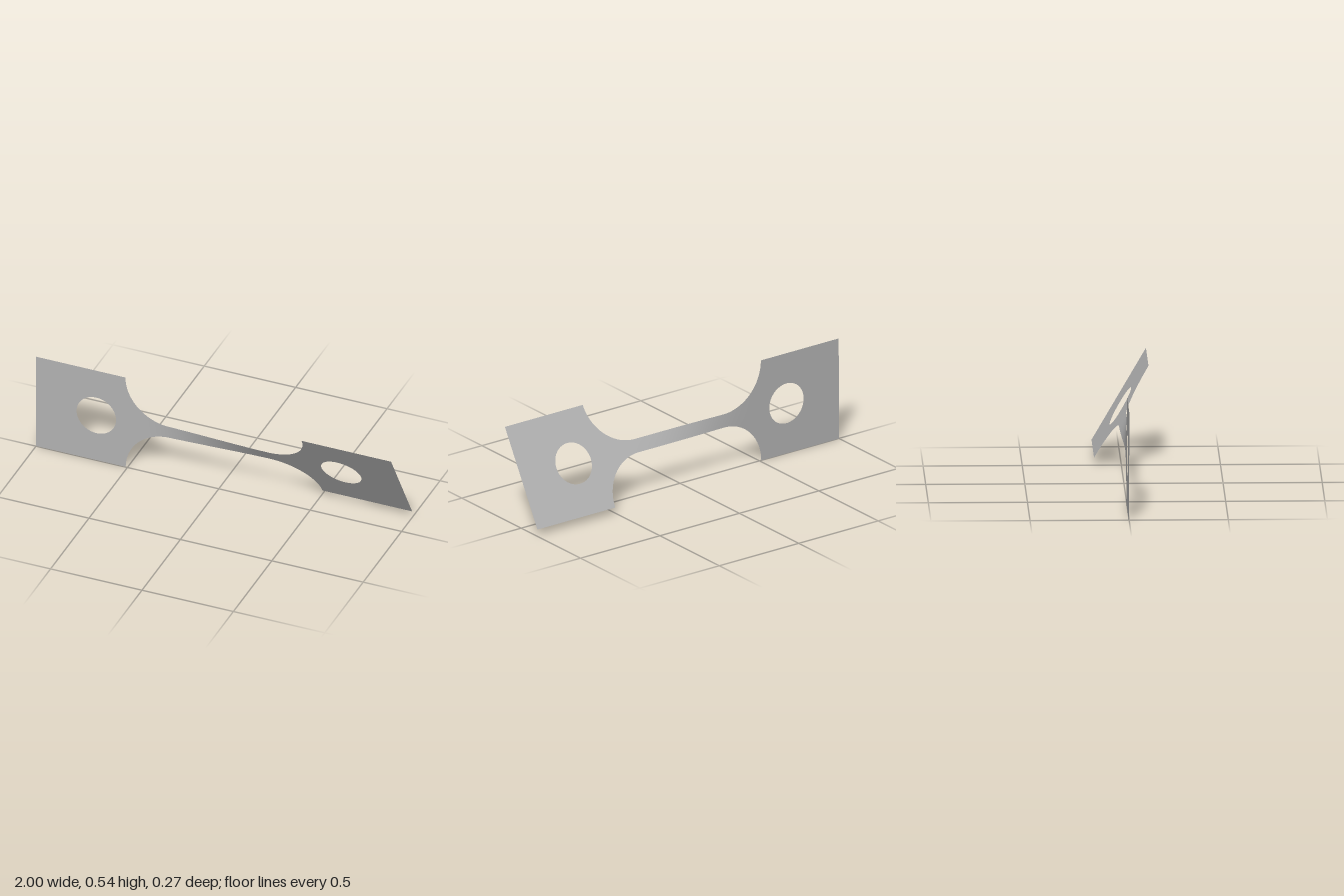
import * as THREE from 'three';

const HALF = 0.272;       // half height of an end tab
const TAB_X = 0.51;       // inner edge of a tab
const ARC_R = 0.237;      // radius of the concave shoulders
const ARC_X = TAB_X - ARC_R;
const TWIST = THREE.MathUtils.degToRad(30.3);
const START_TWIST = THREE.MathUtils.degToRad(0.4);

// Twist angle about the long axis
function twistAt(x) {
  return START_TWIST + (TWIST - START_TWIST) * THREE.MathUtils.smoothstep(x, -0.45, 0.3);
}

// Half height of the strip between the tabs
function halfHeight(x) {
  const d = Math.max(0, Math.abs(x) - ARC_X);
  return HALF - Math.sqrt(Math.max(0, ARC_R * ARC_R - d * d));
}

// Stations along the neck: dense on the shoulders, even on the bar
function neckStations() {
  const arc = 28, bar = 40, xs = [];
  for (let i = 0; i < arc; i++) xs.push(-ARC_X - ARC_R * Math.cos((i / arc) * Math.PI / 2));
  for (let i = 0; i <= bar; i++) xs.push(-ARC_X + (2 * ARC_X * i) / bar);
  for (let i = 1; i <= arc; i++) xs.push(ARC_X + ARC_R * Math.sin((i / arc) * Math.PI / 2));
  return xs;
}

// Twisted neck with curved shoulders
function neckGeometry() {
  const xs = neckStations();
  const geo = new THREE.PlaneGeometry(2, 2, xs.length - 1, 6);
  const pos = geo.attributes.position;
  for (let i = 0; i < pos.count; i++) {
    const x = xs[i % xs.length];
    const s = pos.getY(i) * halfHeight(x);
    const a = twistAt(x);
    pos.setXYZ(i, x, s * Math.cos(a), s * Math.sin(a));
  }
  geo.computeVertexNormals();
  return geo;
}

// Flat end tab with a round hole
function tabGeometry(side) {
  const x0 = side < 0 ? -1 : TAB_X;
  const x1 = side < 0 ? -TAB_X : 1;
  const shape = new THREE.Shape();
  shape.moveTo(x0, -HALF);
  shape.lineTo(x1, -HALF);
  shape.lineTo(x1, HALF);
  shape.lineTo(x0, HALF);
  shape.closePath();
  const hole = new THREE.Path();
  hole.absarc(side * 0.67, 0, 0.108, 0, Math.PI * 2, true);
  shape.holes.push(hole);
  return new THREE.ShapeGeometry(shape, 32).rotateX(twistAt(side));
}

export function createModel() {
  const metal = new THREE.MeshStandardMaterial({ color: 0xb4b4b4, side: THREE.DoubleSide });
  metal.name = 'grey metal';

  const group = new THREE.Group();
  group.name = 'twistedStrip';
  const add = (name, geometry) => {
    const mesh = new THREE.Mesh(geometry, metal);
    mesh.name = name;
    mesh.position.y = HALF;
    group.add(mesh);
  };
  add('rightTab', tabGeometry(-1));
  add('twistedNeck', neckGeometry());
  add('leftTab', tabGeometry(1));
  return group;
}
